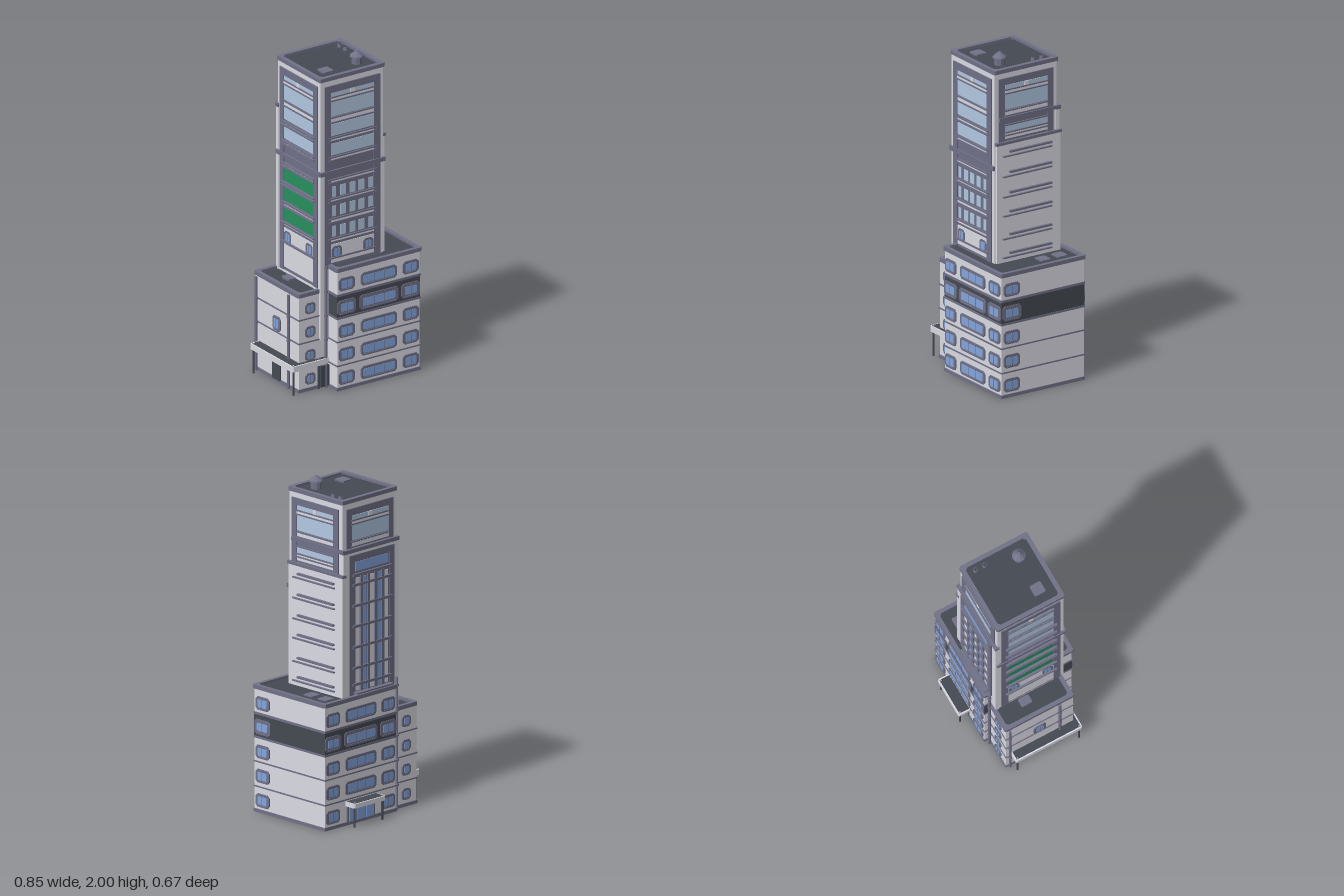
import * as THREE from 'three';

const mat = (name, color) => {
  const m = new THREE.MeshStandardMaterial({ color });
  m.name = name;
  return m;
};
const M = {
  wall: mat('pale wall', 0xdbdbe4), trim: mat('slate trim', 0x727289), dark: mat('charcoal', 0x454a53),
  glass: mat('blue glass', 0x84a6de), pale: mat('pale glass', 0xb2c9e2), green: mat('green panel', 0x279060),
};

function add(parent, name, geo, m, x = 0, y = 0, z = 0) {
  const mesh = new THREE.Mesh(geo, m);
  mesh.name = name;
  mesh.position.set(x, y, z);
  parent.add(mesh);
  return mesh;
}
function box(parent, name, m, x0, x1, y0, y1, z0, z1) {
  return add(parent, name, new THREE.BoxGeometry(x1 - x0, y1 - y0, z1 - z0), m, (x0 + x1) / 2, (y0 + y1) / 2, (z0 + z1) / 2);
}
function group(parent, name, x = 0, z = 0, turn = 0) {
  const g = new THREE.Group();
  g.name = name;
  g.position.set(x, 0, z);
  g.rotation.y = turn;
  parent.add(g);
  return g;
}
// Rectangle outline with cut corners
function chamfered(w, h, c, Type = THREE.Shape) {
  const a = w / 2, b = h / 2;
  return new Type([[-a + c, -b], [a - c, -b], [a, -b + c], [a, b - c], [a - c, b], [-a + c, b], [-a, b - c], [-a, -b + c]]
    .map(p => new THREE.Vector2(...p)));
}
const extrude = (shape, depth) => new THREE.ExtrudeGeometry(shape, { depth, bevelEnabled: false });
const slab = (w, d, c, h) => extrude(chamfered(w, d, c), h).rotateX(-Math.PI / 2);

// Roof rim with a recessed roof deck
function roof(parent, name, x0, x1, z0, z1, top, rim) {
  const s = chamfered(x1 - x0, z1 - z0, 0.008);
  s.holes.push(chamfered(x1 - x0 - 2 * rim, z1 - z0 - 2 * rim, 0.015, THREE.Path));
  add(parent, name + 'Parapet', extrude(s, 0.024).rotateX(-Math.PI / 2), M.trim, (x0 + x1) / 2, top - 0.024, (z0 + z1) / 2);
  box(parent, name + 'Deck', M.dark, x0 + 0.012, x1 - 0.012, top - 0.03, top - 0.014, z0 + 0.012, z1 - 0.012);
}

// Window on a face whose plane is z = 0: framed glass with mullions and a sill
function window_(face, u, y, w, h, bars, border = 0.034) {
  const g = group(face, 'window', u);
  g.position.y = y;
  add(g, 'windowFrame', extrude(chamfered(w, h, 0.015), 0.007), M.trim);
  add(g, 'windowGlass', extrude(chamfered(w - border, h - border + 0.002, 0.005), 0.003), M.glass, 0, 0, 0.006);
  for (let i = 0; i < bars; i++) {
    const x = (w - border) * ((i + 1) / (bars + 1) - 0.5);
    box(g, 'mullion', M.trim, x - 0.0015, x + 0.0015, -h / 2 + 0.014, h / 2 - 0.014, 0.006, 0.01);
  }
  box(g, 'windowSill', M.trim, -w / 2 + 0.02, w / 2 - 0.02, -h / 2 + 0.004, -h / 2 + 0.011, 0, 0.011);
}

// Raised rectangular frame around a tower bay
function bayFrame(face, u0, u1, y0, y1, t) {
  box(face, 'bayBacking', M.trim, u0, u1, y0, y1, -0.002, 0.003);
  for (const [a, b, c, d] of [[u0, u0 + t, y0, y1], [u1 - t, u1, y0, y1], [u0 + t, u1 - t, y1 - t, y1]])
    box(face, 'bayFrame', M.trim, a, b, c, d, 0, 0.008);
}
const slat = (face, y, half, out = 0.013, u = 0, h = 0.01) =>
  box(face, 'slat', M.trim, u - half, u + half, y - h / 2, y + h / 2, 0, out);
const pane = (face, m, u0, u1, y0, y1) => box(face, 'pane', m, u0, u1, y0, y1, 0, 0.006);
function topGlazing(face) {
  pane(face, M.pale, -0.15, 0.15, 1.685, 1.835);
  box(face, 'spandrel', M.wall, -0.15, 0.15, 1.787, 1.8, 0, 0.008);
  pane(face, M.wall, -0.15, 0.15, 1.65, 1.67);
  [1.806, 1.783, 1.677, 1.647].forEach(y => slat(face, y, 0.155, 0.012, 0, 0.008));
  box(face, 'lamp', M.wall, -0.014, 0.014, 1.808, 1.835, 0, 0.01);
}

function buildBase(root) {
  const g = group(root, 'baseBlock', 0.125, 0.035);
  const H = 0.288;
  box(g, 'baseWalls', M.wall, -H, H, 0.01, 0.745, -H, H);
  box(g, 'darkStorey', M.dark, -H - 0.002, H + 0.002, 0.455, 0.59, -H - 0.002, H + 0.002);
  for (const [y, t] of [[0.01, 0.02], [0.155, 0.008], [0.305, 0.008], [0.452, 0.012], [0.595, 0.014]])
    box(g, 'floorBand', M.trim, -H - 0.005, H + 0.005, y - t / 2, y + t / 2, -H - 0.005, H + 0.005);
  roof(g, 'base', -0.298, 0.298, -0.298, 0.298, 0.766, 0.024);
  const front = group(g, 'baseFront', 0, H), back = group(g, 'baseBack', 0, -H, Math.PI);
  const right = group(g, 'baseSide', H, 0, Math.PI / 2);
  [0.075, 0.222, 0.368, 0.517, 0.66].forEach((y, i) => {
    const k = i === 3 ? 0.02 : 0;
    for (const f of [front, back]) {
      for (const u of [-0.225, 0.222]) window_(f, u, y, 0.11 + k, 0.08 + k / 2, 1, 0.034 + k / 2);
      if (f === front || i) window_(f, 0, y, 0.25 + k, 0.08 + k / 2, 2, 0.034 + k / 2);
    }
    window_(right, -0.218, y, 0.11 + k, 0.08 + k / 2, 1, 0.034 + k / 2);
  });
  // Rear entrance
  box(back, 'entranceFrame', M.trim, -0.11, 0.11, 0.01, 0.12, 0, 0.008);
  for (const u of [-0.07, 0, 0.07]) pane(back, M.glass, u - 0.03, u + 0.03, 0.02, 0.11).position.z = 0.008;
  for (const z of [-0.154, -0.039]) add(root, 'roofUnit', slab(0.072, 0.072, 0.006, 0.01), M.trim, 0.307, 0.748, z);
  box(root, 'towerStep', M.trim, -0.15, 0.145, 0.74, 0.775, -0.25, -0.21);
}

function buildAnnex(root) {
  const g = group(root, 'annex');
  box(g, 'annexWalls', M.wall, -0.362, -0.16, 0.01, 0.6, -0.222, 0.222);
  for (const [y, t] of [[0.01, 0.02], [0.155, 0.008], [0.305, 0.008], [0.452, 0.008]])
    box(g, 'annexBand', M.trim, -0.367, -0.16, y - t / 2, y + t / 2, -0.227, 0.227);
  roof(g, 'annex', -0.368, -0.16, -0.23, 0.226, 0.615, 0.025);
  const front = group(g, 'annexFront', -0.285, 0.222), back = group(g, 'annexBack', -0.275, -0.222, Math.PI);
  for (const y of [0.075, 0.222, 0.368, 0.515]) for (const f of [front, back]) window_(f, 0, y, 0.07, 0.068, 1, 0.03);
  const side = group(g, 'annexSide', -0.362, 0, -Math.PI / 2);
  window_(side, 0, 0.36, 0.08, 0.09, 1);
  box(side, 'sideDoor', M.dark, -0.04, 0.04, 0.01, 0.11, 0, 0.008);
  box(g, 'cornerDoor', M.dark, -0.222, -0.165, 0.01, 0.14, 0.2, 0.245);
  add(g, 'roofHatch', slab(0.055, 0.07, 0.006, 0.02), M.trim, -0.257, 0.593, -0.037);
  // Drainpipes
  for (const [x, z, h] of [[-0.373, -0.2, 0.585], [-0.372, 0.13, 0.585], [-0.185, 0.24, 0.76], [-0.19, -0.235, 0.8]]) {
    add(g, 'drainpipe', new THREE.CylinderGeometry(0.008, 0.008, h, 8), M.trim, x, h / 2, z);
    for (let y = 0.15; y < h; y += 0.15) add(g, 'pipeCollar', new THREE.CylinderGeometry(0.012, 0.012, 0.012, 8), M.trim, x, y, z);
  }
}

function buildTower(root) {
  const g = group(root, 'tower', -0.002, 0.019);
  const H = 0.218;
  box(g, 'towerWalls', M.wall, -H, H, 0.3, 1.915, -H, H);
  roof(g, 'tower', -0.227, 0.227, -0.225, 0.225, 1.936, 0.026);
  const front = group(g, 'towerFront', 0, H), left = group(g, 'towerLeft', -H, 0, -Math.PI / 2);
  const right = group(g, 'towerRight', H, 0, Math.PI / 2), back = group(g, 'towerBack', 0, -H, Math.PI);
  // Front and left bays run the full height
  for (const f of [front, left]) {
    const out = f === left ? 0.02 : 0.013;
    bayFrame(f, -0.193, 0.193, f === left ? 0.62 : 0.75, 1.878, 0.043);
    topGlazing(f);
    pane(f, M.pale, -0.15, 0.15, 1.563, 1.637);
    pane(f, M.pale, -0.15, 0.15, 1.442, 1.515);
    [1.18, 1.06, 0.932].forEach(y => {
      if (f === left) pane(f, M.green, -0.148, 0.148, y - 0.003, y + 0.075);
      else for (let i = -2; i <= 2; i++) {
        const half = Math.abs(i) === 2 ? 0.014 : 0.02;
        pane(f, M.pale, i * 0.064 - half, i * 0.064 + half, y, y + 0.065);
      }
    });
    for (const y of [1.541, 1.42, 1.28, 1.161, 1.034, 0.91]) pane(f, M.wall, -0.15, 0.15, y - 0.008, y + 0.008);
    pane(f, M.wall, -0.15, 0.15, f === left ? 0.64 : 0.77, 0.885);
    for (const u of [-0.11, 0.11]) window_(f, u, 0.832, 0.07, 0.075, 1, 0.03);
    for (const y of [0.8, 0.92, 1.022, 1.045, 1.152, 1.17, 1.27, 1.29, 1.41, 1.43, 1.53, 1.55]) slat(f, y, 0.168, out, 0, 0.009);
    box(f, 'bayLedge', M.trim, -0.225, 0.225, 1.325, 1.35, 0, 0.014);
  }
  // Right side: thickened wall with paired louvres, glazing above
  box(right, 'sideSlab', M.wall, -0.21, 0.234, 0.74, 1.475, -0.01, 0.014);
  box(right, 'sideSlabCap', M.trim, -0.217, 0.24, 1.475, 1.492, -0.01, 0.02);
  for (const y of [0.795, 0.91, 1.05, 1.167, 1.292, 1.417]) {
    slat(right, y - 0.013, 0.17, 0.026, 0, 0.008);
    slat(right, y + 0.013, 0.147, 0.03, 0.02, 0.012);
  }
  bayFrame(right, -0.19, 0.19, 1.49, 1.878, 0.04);
  topGlazing(right);
  box(right, 'bayLedge', M.trim, -0.19, 0.238, 1.62, 1.64, 0, 0.014);
  pane(right, M.pale, -0.15, 0.15, 1.55, 1.585);
  pane(right, M.wall, -0.15, 0.15, 1.505, 1.54);
  [1.545, 1.527, 1.59].forEach(y => slat(right, y, 0.155, 0.012, 0, 0.008));
  // Rear: thickened wall with a tall gridded bay, glazing above
  box(back, 'rearSlab', M.wall, -0.225, 0.222, 0.6, 1.615, -0.01, 0.015);
  box(back, 'rearSlabCap', M.trim, -0.23, 0.227, 1.615, 1.638, -0.01, 0.02);
  const grid = group(back, 'rearGrid', 0, 0.015);
  bayFrame(grid, -0.18, 0.18, 0.75, 1.6, 0.035);
  pane(grid, M.glass, -0.135, 0.135, 1.5, 1.555);
  for (let i = -2; i <= 2; i++) {
    const u = i * 0.058;
    pane(grid, i % 2 ? M.glass : M.wall, u - 0.016, u + 0.016, 0.78, 1.46);
    if (i < 2) box(grid, 'gridPost', M.trim, u + 0.02, u + 0.038, 0.76, 1.47, 0, 0.012);
  }
  for (const y of [0.82, 0.92, 1.045, 1.17, 1.295, 1.42, 1.48]) slat(grid, y, 0.16, 0.016, 0, 0.015);
  bayFrame(back, -0.19, 0.19, 1.64, 1.878, 0.04);
  topGlazing(back);
  // Rooftop tank, vents and hatch
  const tank = [[0, 0], [0.032, 0], [0.032, 0.05], [0.043, 0.05], [0.041, 0.058], [0.013, 0.08], [0.01, 0.085], [0, 0.085]];
  const tankGeo = new THREE.LatheGeometry(tank.map(p => new THREE.Vector2(...p)), 10).toNonIndexed();
  tankGeo.computeVertexNormals();
  add(root, 'roofTank', tankGeo, M.trim, 0.108, 1.915, 0.127);
  for (const z of [-0.13, -0.07]) {
    add(root, 'roofVent', new THREE.CylinderGeometry(0.012, 0.015, 0.022, 10), M.trim, 0.163, 1.931, z);
    add(root, 'ventCap', new THREE.CylinderGeometry(0.009, 0.009, 0.003, 10), M.dark, 0.163, 1.943, z);
  }
  add(root, 'towerHatch', slab(0.072, 0.072, 0.006, 0.017), M.trim, -0.112, 1.915, 0.127);
}

// Flat canopy with a pale rim, dark top and slim posts
function canopy(root, name, x0, x1, z0, z1, y0, y1, posts) {
  const g = group(root, name);
  add(g, 'canopySlab', slab(x1 - x0, z1 - z0, 0.008, y1 - y0), M.wall, (x0 + x1) / 2, y0, (z0 + z1) / 2);
  box(g, 'canopyTop', M.dark, x0 + 0.009, x1 - 0.009, y1 - 0.002, y1 + 0.002, z0 + 0.009, z1 - 0.009);
  for (const [x, z] of posts) {
    add(g, 'canopyPost', new THREE.CylinderGeometry(0.006, 0.006, y0, 8), M.dark, x, y0 / 2, z);
    add(g, 'postCap', new THREE.CylinderGeometry(0.004, 0.004, 0.004, 8), M.wall, x, y1 + 0.003, z);
  }
}

export function createModel() {
  const root = new THREE.Group();
  root.name = 'officeTower';
  buildBase(root);
  buildAnnex(root);
  buildTower(root);
  canopy(root, 'rearCanopy', -0.003, 0.25, -0.333, -0.25, 0.118, 0.145, [[0.011, -0.318], [0.235, -0.318]]);
  canopy(root, 'sideCanopy', -0.424, -0.17, -0.188, 0.25, 0.15, 0.185, [[-0.409, -0.172], [-0.409, 0.234], [-0.234, 0.234]]);
  return root;
}
